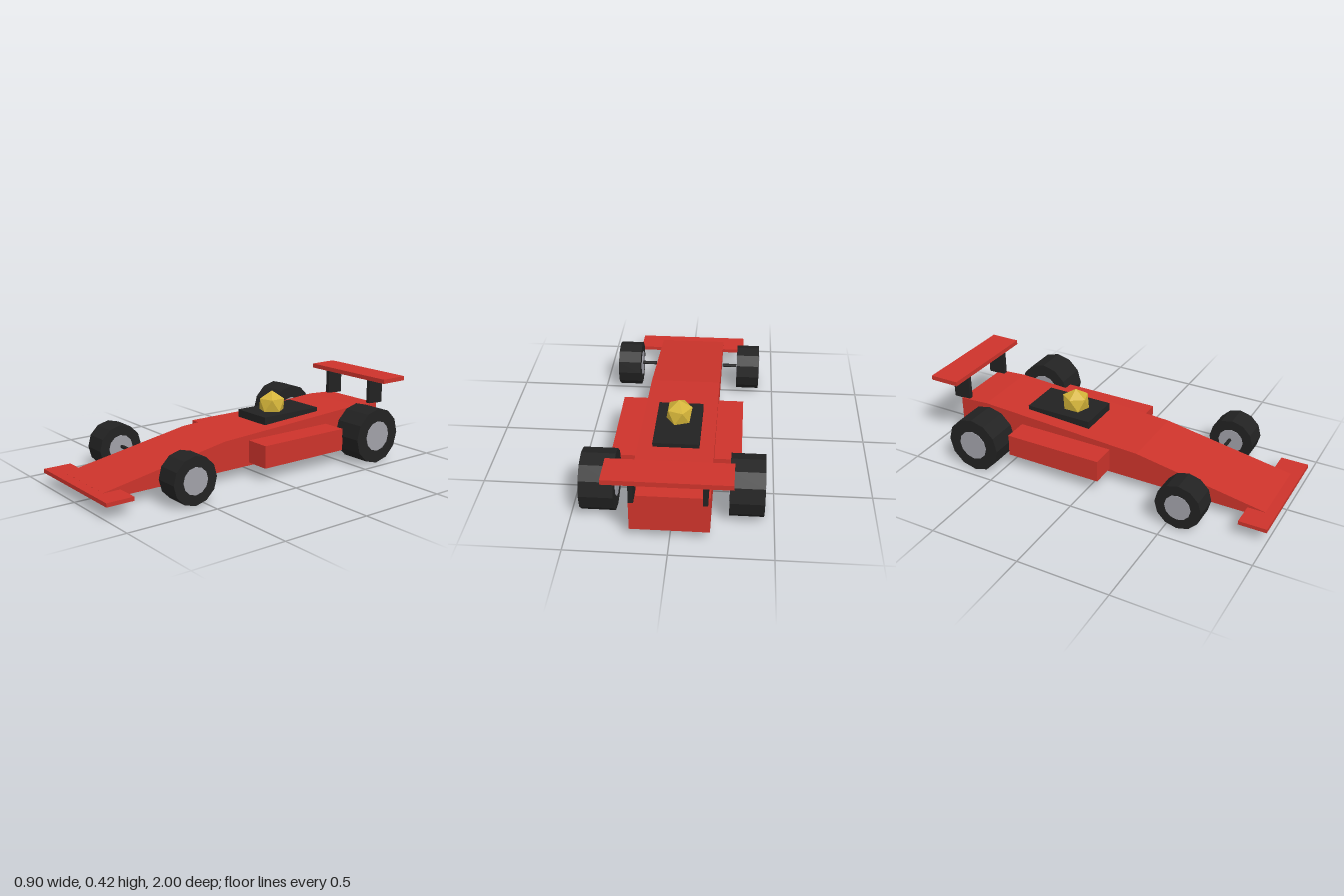
import * as THREE from 'three';
import { ConvexGeometry } from 'three/addons/geometries/ConvexGeometry.js';

const material = (name, color) => {
  const m = new THREE.MeshStandardMaterial({ color, flatShading: true });
  m.name = name;
  return m;
};

export function createModel() {
  const car = new THREE.Group();
  car.name = 'racingCar';
  const red = material('red paint', 0xcc332b);
  const black = material('black rubber', 0x222222);
  const grey = material('grey metal', 0xa0a0a8);
  const gold = material('gold', 0xd4b439);

  const add = (name, geometry, mat, parent = car) => {
    const mesh = new THREE.Mesh(geometry, mat);
    mesh.name = name;
    parent.add(mesh);
    return mesh;
  };
  // Box given by its lower and upper limits on each axis
  const box = (name, mat, [x0, x1], [y0, y1], [z0, z1]) =>
    add(name, new THREE.BoxGeometry(x1 - x0, y1 - y0, z1 - z0), mat)
      .position.set((x0 + x1) / 2, (y0 + y1) / 2, (z0 + z1) / 2);

  // Body: side profile (z, y) extruded across the width
  const halfWidth = 0.193;
  const profile = new THREE.Shape([
    [0.91, 0.055], [0.945, 0.09], [0.225, 0.215], [-0.72, 0.265], [-0.89, 0.255], [-0.89, 0.055],
  ].map(([z, y]) => new THREE.Vector2(z, y)));
  const body = new THREE.ExtrudeGeometry(profile, { depth: halfWidth * 2, bevelEnabled: false });
  body.rotateY(-Math.PI / 2).translate(halfWidth, 0, 0);
  add('body', body, red);

  box('sidePods', red, [-0.33, 0.33], [0.072, 0.194], [-0.487, 0.065]);
  box('cockpit', black, [-0.118, 0.118], [0.232, 0.275], [-0.487, -0.104]);
  box('frontWing', red, [-0.321, 0.321], [0.068, 0.089], [0.85, 1]);
  box('rearWing', red, [-0.3, 0.3], [0.395, 0.42], [-1, -0.832]);

  // Helmet: icosahedron standing on a vertex
  const r = 0.076;
  const points = [new THREE.Vector3(0, r, 0), new THREE.Vector3(0, -r, 0)];
  for (let i = 0; i < 5; i++) {
    const a = (i * 2 * Math.PI) / 5;
    const x = 0.894 * r * Math.cos(a), z = 0.894 * r * Math.sin(a);
    points.push(new THREE.Vector3(x, -0.447 * r, z), new THREE.Vector3(-x, 0.447 * r, z));
  }
  const helmet = add('helmet', new ConvexGeometry(points), gold);
  helmet.position.set(0, 0.309, -0.25);
  helmet.scale.z = 1.08;

  // Wheel with its axis along x and a hub showing on both sides
  const wheel = (name, side, inner, outer, radius, hubRadius, z) => {
    const group = new THREE.Group();
    group.name = name;
    group.position.set(side * (inner + outer) / 2, radius + (name.startsWith('front') ? 0.005 : 0), z);
    const drum = (rad, width) => new THREE.CylinderGeometry(rad, rad, width, 12).rotateZ(Math.PI / 2);
    add('tyre', drum(radius, outer - inner), black, group);
    add('hub', drum(hubRadius, outer - inner + 0.006), grey, group);
    car.add(group);
  };

  for (const [label, side] of [['Left', 1], ['Right', -1]]) {
    wheel('frontWheel' + label, side, 0.285, 0.415, 0.126, 0.071, 0.565);
    wheel('rearWheel' + label, side, 0.279, 0.449, 0.154, 0.084, -0.637);
    const axle = add('frontAxle' + label, new THREE.CylinderGeometry(0.01, 0.01, 0.09, 8), black);
    axle.rotation.z = Math.PI / 2;
    axle.position.set(side * 0.245, 0.138, 0.56);
    box('wingStrut' + label, black, side > 0 ? [0.16, 0.184] : [-0.184, -0.16], [0.253, 0.396], [-0.943, -0.84]);
  }
  return car;
}
